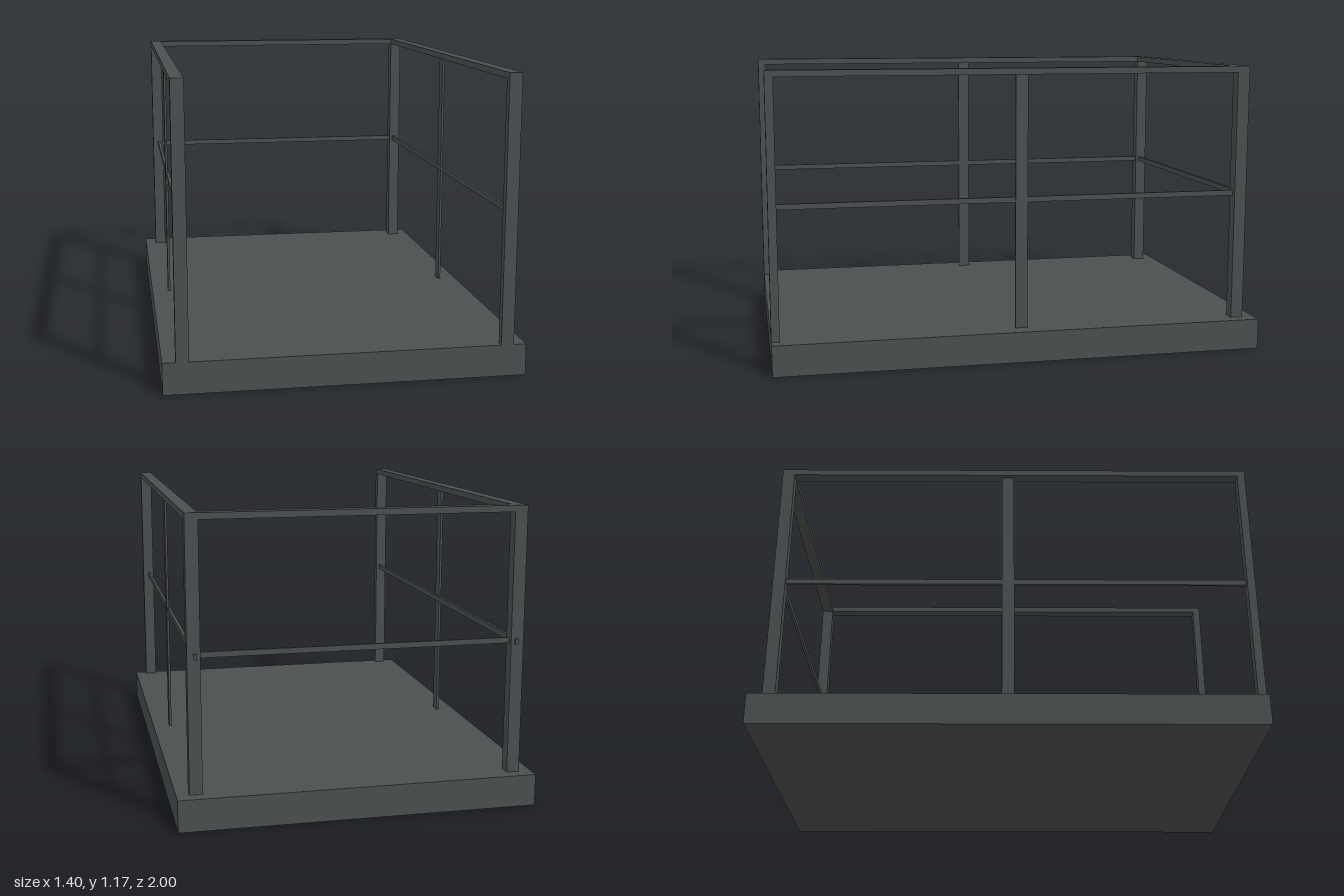
import * as THREE from 'three';

export function createModel() {
  const model = new THREE.Group();
  model.name = 'railedPlatform';
  const steel = new THREE.MeshStandardMaterial({ color: 0x4b4f4f });
  steel.name = 'darkSteel';

  // Box given by its minimum and maximum corners
  const box = (name, [x0, y0, z0], [x1, y1, z1]) => {
    const mesh = new THREE.Mesh(new THREE.BoxGeometry(x1 - x0, y1 - y0, z1 - z0), steel);
    mesh.position.set((x0 + x1) / 2, (y0 + y1) / 2, (z0 + z1) / 2);
    mesh.name = name;
    model.add(mesh);
    return mesh;
  };
  // The same box on the left (+x) and right (-x) sides
  const pair = (name, a, b) => {
    box('left' + name, a, b);
    box('right' + name, [-b[0], a[1], a[2]], [-a[0], b[1], b[2]]);
  };

  const deck = 0.125, railBottom = 1.15, railTop = 1.175;

  box('deck', [-0.7, 0, -1], [0.7, deck, 1]);

  // Uprights: stout corner posts and a flat bar midway
  pair('FrontPost', [0.6, deck, 0.967], [0.65, railBottom, 1]);
  pair('BackPost', [0.6, deck, -0.95], [0.65, railBottom, -0.9]);
  pair('MiddlePost', [0.62, deck, -0.025], [0.63, railBottom, 0.025]);

  // Handrails on three sides, open at the front
  pair('Handrail', [0.6, railBottom, -0.95], [0.65, railTop, 1]);
  box('backHandrail', [-0.6, railBottom, -0.95], [0.6, railTop, -0.9]);

  // Thin middle rails; the side ones poke out behind the back posts
  pair('MiddleRail', [0.614, 0.64, -0.96], [0.626, 0.662, 0.98]);
  box('backMiddleRail', [-0.61, 0.64, -0.926], [0.61, 0.662, -0.914]);

  return model;
}
